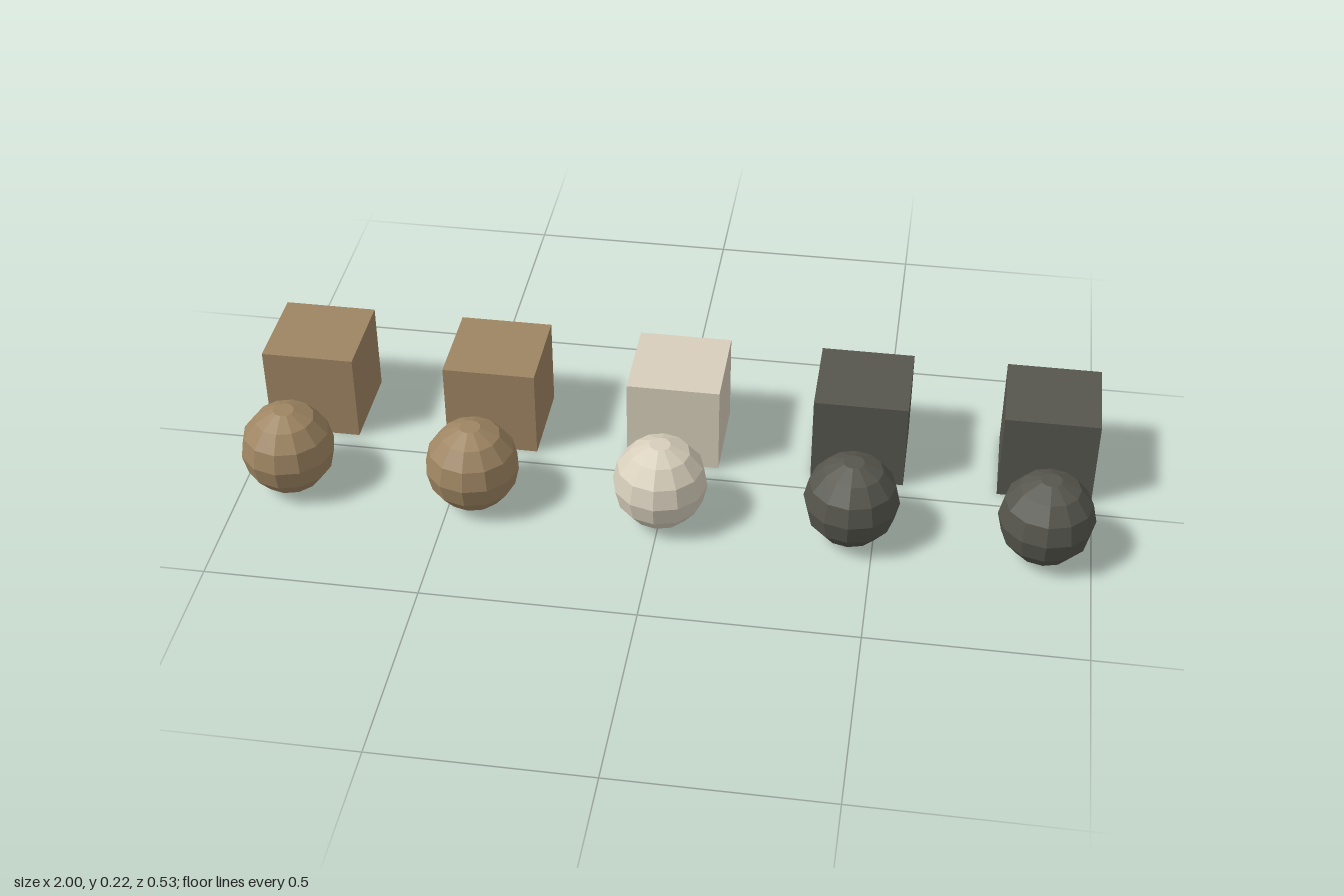
import * as THREE from 'three';

const SIZE = 0.222;
const R = 0.111;
const STEP = 0.4445;
const ROW_Z = 0.156;

// Faceted ball: seven rings of twelve sides, closed by small flat caps
function ballGeometry() {
  const rings = 7;
  const rise = R * Math.cos(Math.PI / 14);
  const profile = [new THREE.Vector2(0, -rise)];
  for (let i = 0; i < rings; i++) {
    const lat = -Math.PI / 2 + ((i + 0.5) * Math.PI) / rings;
    profile.push(new THREE.Vector2(R * Math.cos(lat), R * Math.sin(lat)));
  }
  profile.push(new THREE.Vector2(0, rise));
  const geo = new THREE.LatheGeometry(profile, 12).toNonIndexed();
  geo.computeVertexNormals(); // one normal per face
  geo.translate(0, rise, 0); // rest on the ground
  return geo;
}

function makeMaterial(name, color) {
  const material = new THREE.MeshStandardMaterial({ color });
  material.name = name;
  return material;
}

export function createModel() {
  const model = new THREE.Group();
  model.name = 'cubesAndBalls';

  const brown = makeMaterial('brown', 0x9e8562);
  const cream = makeMaterial('cream', 0xd7cebb);
  const charcoal = makeMaterial('charcoal', 0x56564e);

  const cubeGeo = new THREE.BoxGeometry(SIZE, SIZE, SIZE).translate(0, SIZE / 2, 0);
  const ballGeo = ballGeometry();

  // Five columns, each with a cube behind a ball
  [brown, brown, cream, charcoal, charcoal].forEach((material, i) => {
    const x = (i - 2) * STEP;
    const cube = new THREE.Mesh(cubeGeo, material);
    cube.name = `cube${i + 1}`;
    cube.position.set(x, 0, -ROW_Z);
    const ball = new THREE.Mesh(ballGeo, material);
    ball.name = `ball${i + 1}`;
    ball.position.set(x, 0, ROW_Z);
    model.add(cube, ball);
  });

  return model;
}
